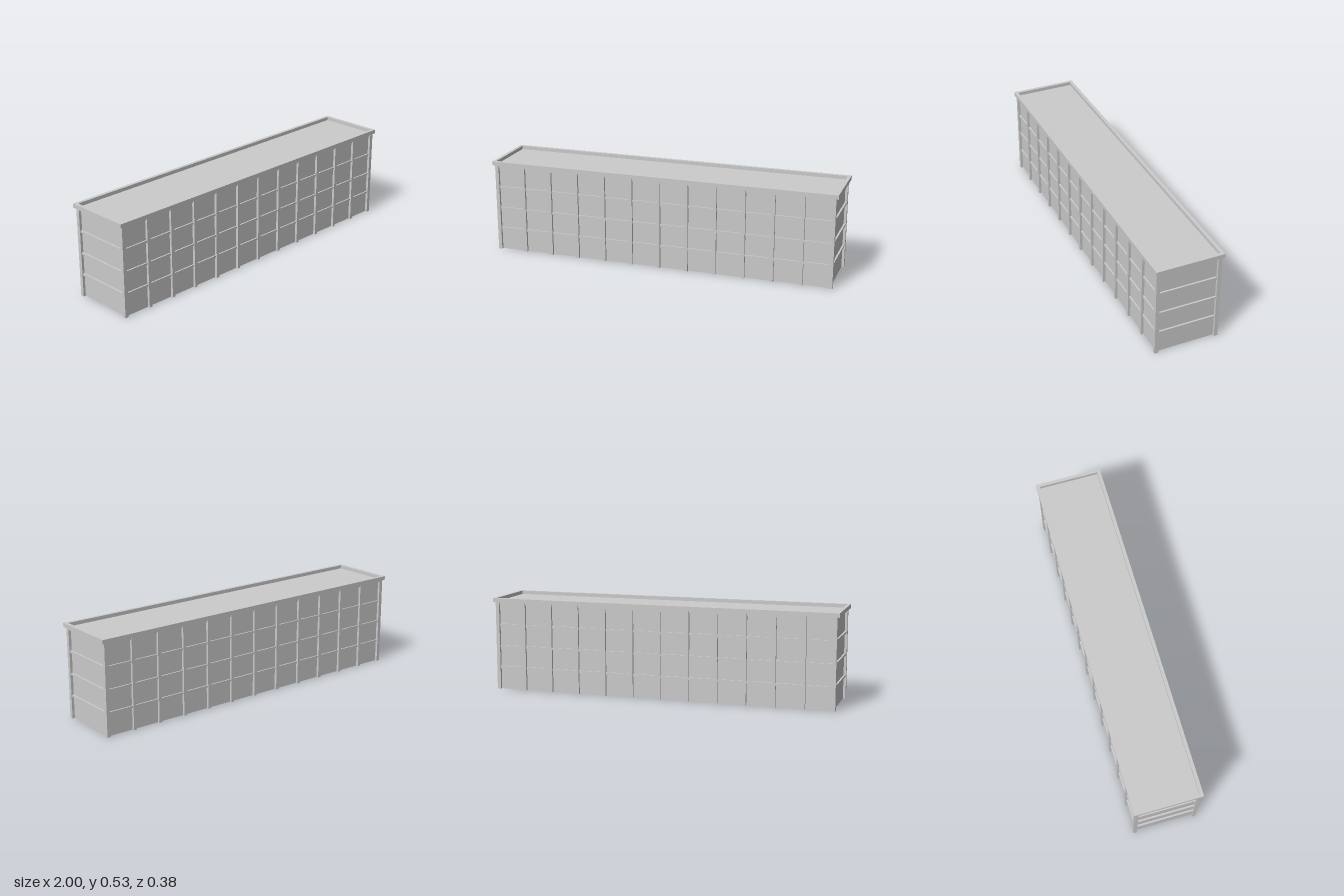
import * as THREE from 'three';

export function createModel() {
  const group = new THREE.Group();
  const material = new THREE.MeshStandardMaterial({ color: 0xcccccc, flatShading: true });

  // Box given by its extents
  function box(name, x0, x1, y0, y1, z0, z1) {
    const mesh = new THREE.Mesh(new THREE.BoxGeometry(x1 - x0, y1 - y0, z1 - z0), material);
    mesh.position.set((x0 + x1) / 2, (y0 + y1) / 2, (z0 + z1) / 2);
    mesh.name = name;
    group.add(mesh);
  }

  const bays = 12;
  const wallTop = 0.508, roofTop = 0.531;
  const outerX = 0.987, outerZ = 0.182;   // outer faces of the posts
  const panelX = 0.973, panelZ = 0.168;   // recessed wall faces
  const railX = 0.983, railZ = 0.176;     // rail faces
  const cornerW = 0.021, postW = 0.018;

  // Recessed wall body
  box('wallBody', -panelX, panelX, 0, wallTop, -panelZ, panelZ);

  // Corner posts
  for (const sx of [-1, 1]) for (const sz of [-1, 1]) {
    const xs = [sx * outerX, sx * (outerX - cornerW)].sort((a, b) => a - b);
    const zs = [sz * outerZ, sz * (outerZ - cornerW)].sort((a, b) => a - b);
    box('cornerPost', ...xs, 0, wallTop, ...zs);
  }

  // Posts between bays, on the long walls
  const first = outerX - cornerW / 2, pitch = 2 * first / bays;
  for (let i = 1; i < bays; i++) {
    const x = -first + i * pitch;
    box('frontPost', x - postW / 2, x + postW / 2, 0, wallTop, panelZ - 0.01, outerZ);
    box('backPost', x - postW / 2, x + postW / 2, 0, wallTop, -outerZ, -panelZ + 0.01);
  }

  // Horizontal rails at the head of each storey
  for (const [y0, y1] of [[0.122, 0.134], [0.245, 0.257], [0.37, 0.382], [0.494, wallTop]]) {
    box('frontRail', -first, first, y0, y1, panelZ - 0.01, railZ);
    box('backRail', -first, first, y0, y1, -railZ, -panelZ + 0.01);
    box('leftRail', panelX - 0.01, railX, y0, y1, -0.165, 0.165);
    box('rightRail', -railX, -panelX + 0.01, y0, y1, -0.165, 0.165);
  }

  // Parapet rim around the sunken roof
  const rect = (Type, x, z) => new Type([[-x, -z], [x, -z], [x, z], [-x, z]].map(p => new THREE.Vector2(...p)));
  const rimShape = rect(THREE.Shape, 1, 0.19);
  rimShape.holes.push(rect(THREE.Path, 0.981, 0.171));
  const rimGeometry = new THREE.ExtrudeGeometry(rimShape, { depth: roofTop - wallTop, bevelEnabled: false });
  rimGeometry.rotateX(-Math.PI / 2);
  const rim = new THREE.Mesh(rimGeometry, material);
  rim.position.y = wallTop;
  rim.name = 'parapetRim';
  group.add(rim);

  // Roof deck inside the rim
  box('roofDeck', -0.982, 0.982, wallTop - 0.004, wallTop + 0.003, -0.172, 0.172);

  return group;
}
